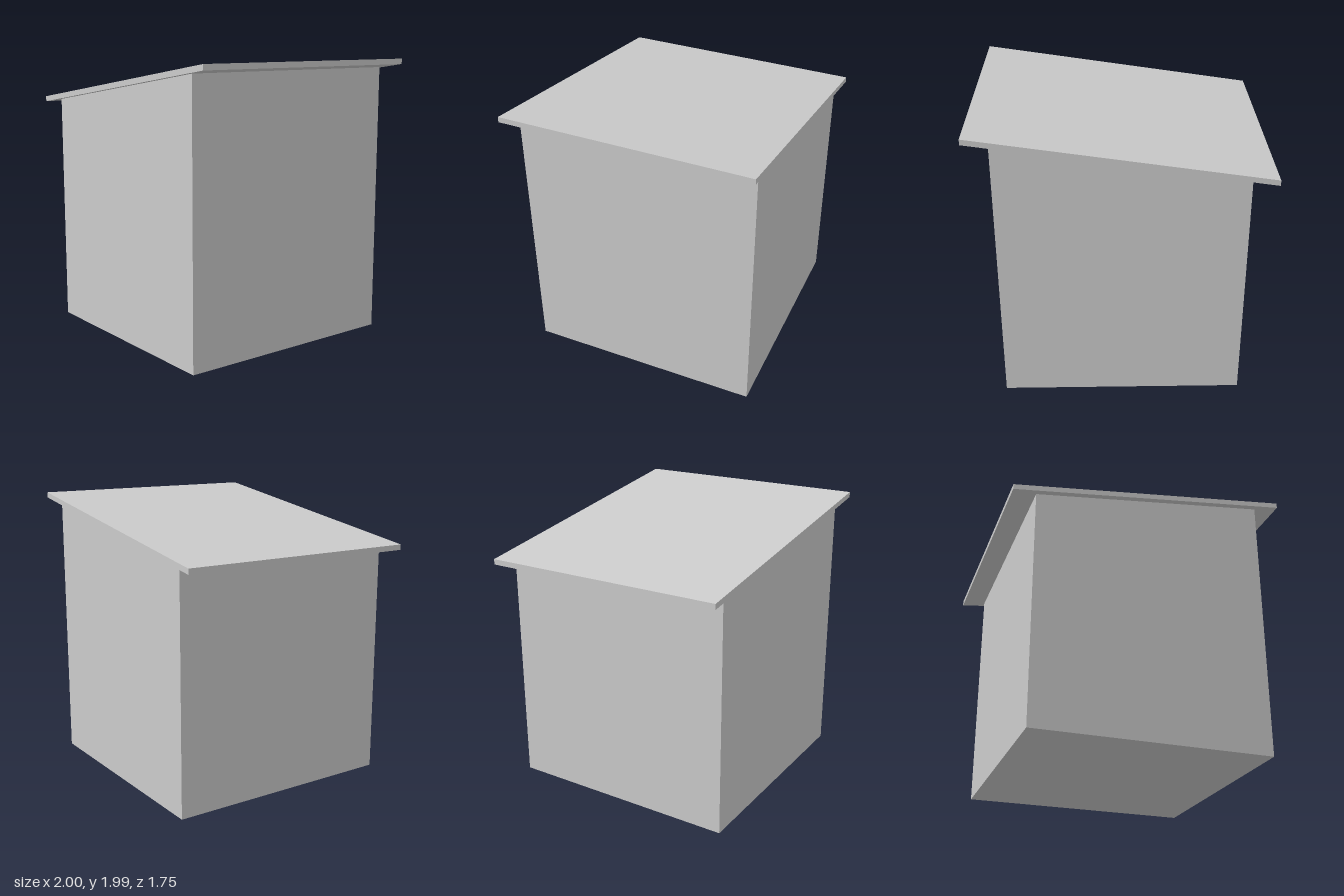
import * as THREE from 'three';

const SLOPE = 0.15;            // roof rise per unit of x
const EAVES = 1.797;           // underside of the roof at x = 0
const underside = (x) => EAVES + SLOPE * x;

// Extrudes an outline in the xy plane, centred on z = 0
function slab(name, outline, depth, material) {
  const shape = new THREE.Shape(outline.map(([x, y]) => new THREE.Vector2(x, y)));
  const geometry = new THREE.ExtrudeGeometry(shape, { depth, bevelEnabled: false });
  geometry.translate(0, 0, -depth / 2);
  const mesh = new THREE.Mesh(geometry, material);
  mesh.name = name;
  return mesh;
}

export function createModel() {
  const group = new THREE.Group();
  group.name = 'shed';
  const material = new THREE.MeshStandardMaterial({ color: 0xcccccc, flatShading: true });

  // Closed body with a slanted top
  const w = 0.832;
  group.add(slab('body', [[-w, 0], [w, 0], [w, underside(w)], [-w, underside(-w)]], 2 * w, material));

  // Thin sloping roof with upright edges, overhanging all round
  const r = 1, t = 0.038;
  group.add(slab('roof', [
    [-r, underside(-r)], [r, underside(r)], [r, underside(r) + t], [-r, underside(-r) + t],
  ], 1.748, material));

  return group;
}
